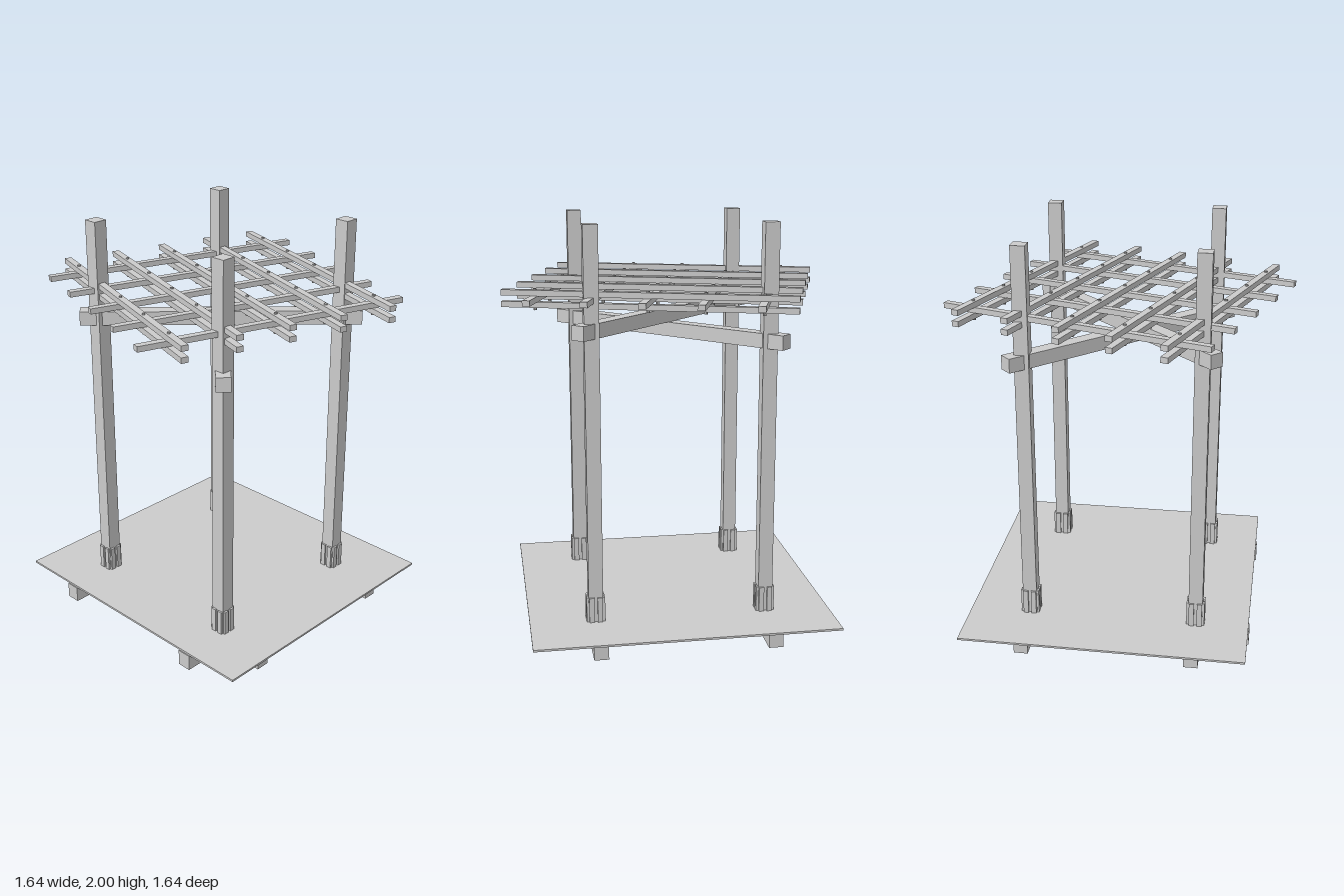
import * as THREE from 'three';

const material = new THREE.MeshStandardMaterial({ color: 0xcccccc, flatShading: true });

function box(parent, name, w, h, d, x, y, z, turn = 0) {
  const mesh = new THREE.Mesh(new THREE.BoxGeometry(w, h, d), material);
  mesh.name = name;
  mesh.position.set(x, y, z);
  mesh.rotation.y = turn;
  parent.add(mesh);
  return mesh;
}

function disc(parent, name, radius, height, sides, x, y, z) {
  const mesh = new THREE.Mesh(new THREE.CylinderGeometry(radius, radius, height, sides), material);
  mesh.name = name;
  mesh.position.set(x, y, z);
  parent.add(mesh);
  return mesh;
}

function group(parent, name) {
  const g = new THREE.Group();
  g.name = name;
  parent.add(g);
  return g;
}

export function createModel() {
  const model = new THREE.Group();
  model.name = 'pergola';
  const P = 0.42; // post offset from the centre

  // Floor deck on four crossing joists
  const floor = group(model, 'floor');
  box(floor, 'deck', 1.41, 0.01, 1.48, 0.02, 0.085, 0);
  for (const s of [-1, 1]) {
    box(floor, 'joistAcross', 1.38, 0.08, 0.07, 0, 0.04, s * P);
    box(floor, 'joistLengthwise', 0.07, 0.08, 1.38, s * P, 0.04, 0);
  }

  // Posts with footing pads and slatted collars
  for (const sx of [-1, 1]) {
    for (const sz of [-1, 1]) {
      const post = group(model, (sz > 0 ? 'front' : 'back') + (sx > 0 ? 'Left' : 'Right') + 'Post');
      post.position.set(sx * P, 0, sz * P);
      box(post, 'shaft', 0.07, 1.99, 0.07, 0, 1.005, 0);
      disc(post, 'footingPad', 0.08, 0.005, 24, 0, 0.0025, 0);
      for (let side = 0; side < 4; side++) {
        const collar = group(post, 'collarSide');
        collar.rotation.y = side * Math.PI / 2;
        for (const s of [-1, 1]) box(collar, 'collarSlat', 0.025, 0.13, 0.01, s * 0.02, 0.15, 0.04);
      }
    }
  }

  // Stacked diagonal beams joining opposite posts
  box(model, 'lowerDiagonalBeam', 1.38, 0.07, 0.07, 0, 1.445, 0, Math.PI / 4);
  box(model, 'upperDiagonalBeam', 1.38, 0.07, 0.07, 0, 1.515, 0, -Math.PI / 4);

  // Turned roof lattice: single bars held between pairs of bars
  const lattice = group(model, 'roofLattice');
  lattice.position.y = 1.656;
  lattice.rotation.y = -0.32;
  const pitch = 0.264, thick = 0.027;
  for (let i = -2; i <= 2; i++) {
    box(lattice, 'middleBar', 1.37, thick, 0.035, 0, 0, i * pitch);
    for (const s of [-1, 1]) {
      box(lattice, s > 0 ? 'upperBar' : 'lowerBar', 0.035, thick, 1.37, i * pitch, s * thick, 0);
    }
    // Bolt through each crossing
    for (let j = -2; j <= 2; j++) disc(lattice, 'bolt', 0.008, 0.1, 8, i * pitch, -0.003, j * pitch);
  }
  return model;
}
